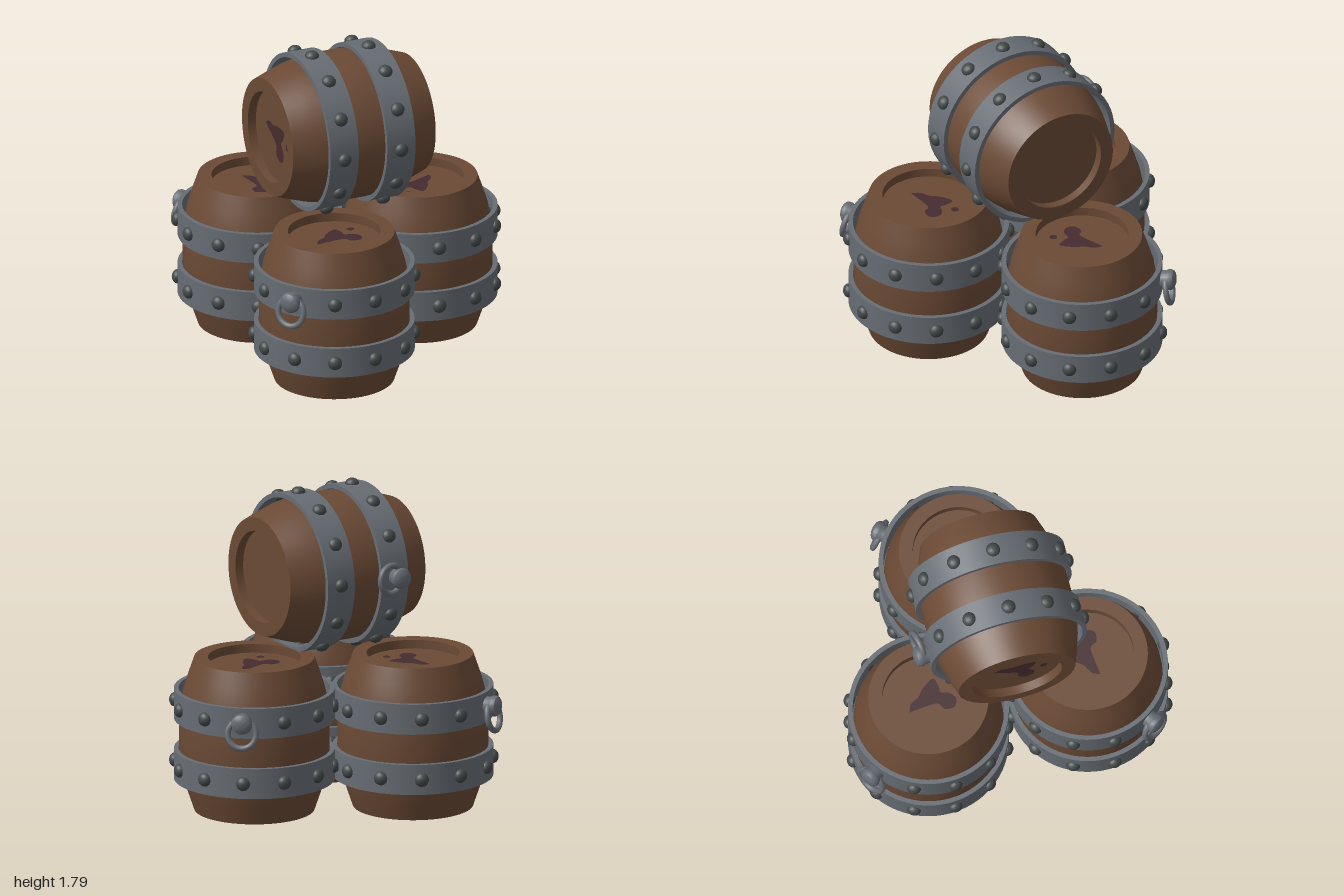
import * as THREE from 'three';
import { toCreasedNormals } from 'three/addons/utils/BufferGeometryUtils.js';

const material = (name, color, side = THREE.FrontSide) => {
  const m = new THREE.MeshStandardMaterial({ color, side });
  m.name = name;
  return m;
};
const wood = material('wood', 0x6b4a35);
const iron = material('iron', 0x676d74);
const darkIron = material('darkIron', 0x434949);
const wine = material('wine', 0x452c30, THREE.DoubleSide);

const HEIGHT = 0.88, BAND_RADIUS = 0.45, STUDS = 12;
const LOWER = 0.265, UPPER = 0.615;

const lathe = (points, segments = 64) =>
  toCreasedNormals(new THREE.LatheGeometry(points.map(p => new THREE.Vector2(...p)), segments), 0.6);

// Staves with a recessed lid at both ends
const bodyGeo = lathe([
  [0, 0.05], [0.26, 0.05], [0.26, 0], [0.337, 0],
  [0.368, 0.09], [0.396, 0.18], [0.414, 0.27], [0.421, 0.36],
  [0.421, 0.52], [0.414, 0.61], [0.396, 0.7], [0.368, 0.79],
  [0.337, HEIGHT], [0.26, HEIGHT], [0.26, HEIGHT - 0.05], [0, HEIGHT - 0.05],
]);

// Straight hoop, standing slightly off the staves
const bandGeo = lathe([
  [0.424, -0.087], [BAND_RADIUS, -0.087], [BAND_RADIUS, 0.087], [0.424, 0.087], [0.424, -0.087],
]);

const studGeo = new THREE.SphereGeometry(0.04, 16, 10).scale(1, 1, 0.8);

// Knob that holds the ring, lying along +z
const knobGeo = lathe([
  [0, -0.02], [0.05, -0.02], [0.05, 0.02], [0.058, 0.035],
  [0.06, 0.05], [0.055, 0.066], [0.04, 0.077], [0.02, 0.083], [0, 0.084],
], 24).rotateX(Math.PI / 2);
const ringGeo = new THREE.TorusGeometry(0.08, 0.017, 12, 32);

// Spilled patch on the lid
const stainPoints = [
  [-0.035, -0.125], [-0.06, -0.08], [-0.055, -0.02], [-0.07, 0.03], [-0.065, 0.115],
  [-0.01, 0.10], [0.02, 0.08], [0.06, 0.11], [0.11, 0.11], [0.135, 0.065],
  [0.10, 0.02], [0.05, 0.02], [0.005, -0.05],
].map(p => new THREE.Vector2(...p));
const stainShape = new THREE.Shape();
stainShape.moveTo(stainPoints[0].x, stainPoints[0].y);
stainShape.splineThru([...stainPoints.slice(1), stainPoints[0]]);
const stainGeo = new THREE.ShapeGeometry(stainShape, 4).rotateX(-Math.PI / 2);
const dropGeo = new THREE.CircleGeometry(0.022, 16).rotateX(-Math.PI / 2);

function add(parent, name, geometry, mat, x = 0, y = 0, z = 0) {
  const mesh = new THREE.Mesh(geometry, mat);
  mesh.name = name;
  mesh.position.set(x, y, z);
  parent.add(mesh);
  return mesh;
}

// Upright barrel with its handle towards +z
function makeBarrel(name) {
  const barrel = new THREE.Group();
  barrel.name = name;
  add(barrel, 'body', bodyGeo, wood);

  for (const y of [LOWER, UPPER]) {
    add(barrel, 'band', bandGeo, iron, 0, y);
    for (let i = 0; i < STUDS; i++) {
      if (y === UPPER && i === 0) continue; // the handle sits here
      const a = (i / STUDS) * Math.PI * 2;
      const stud = add(barrel, 'stud', studGeo, darkIron,
        Math.sin(a) * BAND_RADIUS, y, Math.cos(a) * BAND_RADIUS);
      stud.rotation.y = a;
    }
  }

  const handle = new THREE.Group();
  handle.name = 'handle';
  handle.position.set(0, UPPER + 0.01, BAND_RADIUS);
  add(handle, 'knob', knobGeo, iron);
  add(handle, 'ring', ringGeo, iron, 0, -0.06, 0.042).rotation.x = -0.2;
  barrel.add(handle);

  const lidY = HEIGHT - 0.046;
  add(barrel, 'stain', stainGeo, wine, 0, lidY, 0);
  add(barrel, 'stainDrop', dropGeo, wine, 0.01, lidY, -0.165);
  return barrel;
}

export function createModel() {
  const model = new THREE.Group();
  model.name = 'barrelStack';

  // Three standing barrels
  const standing = [
    ['rightBarrel', -0.365, -0.045, -Math.PI / 2],
    ['backBarrel', 0.412, -0.48, Math.PI + 0.27],
    ['frontBarrel', 0.412, 0.462, 0],
  ];
  for (const [name, x, z, turn] of standing) {
    const barrel = makeBarrel(name);
    barrel.position.set(x, 0, z);
    barrel.rotation.y = turn;
    model.add(barrel);
  }

  // Barrel lying across the top
  const top = makeBarrel('topBarrel');
  const axis = new THREE.Vector3(-0.579, 0, 0.816).normalize();
  const down = new THREE.Vector3(0, -1, 0);
  const side = new THREE.Vector3().crossVectors(down, axis);
  top.quaternion.setFromRotationMatrix(new THREE.Matrix4().makeBasis(down, axis, side));
  top.rotateY(-0.04);
  top.position.set(0.18, 1.31, 0).addScaledVector(axis, -HEIGHT / 2);
  model.add(top);

  return model;
}
